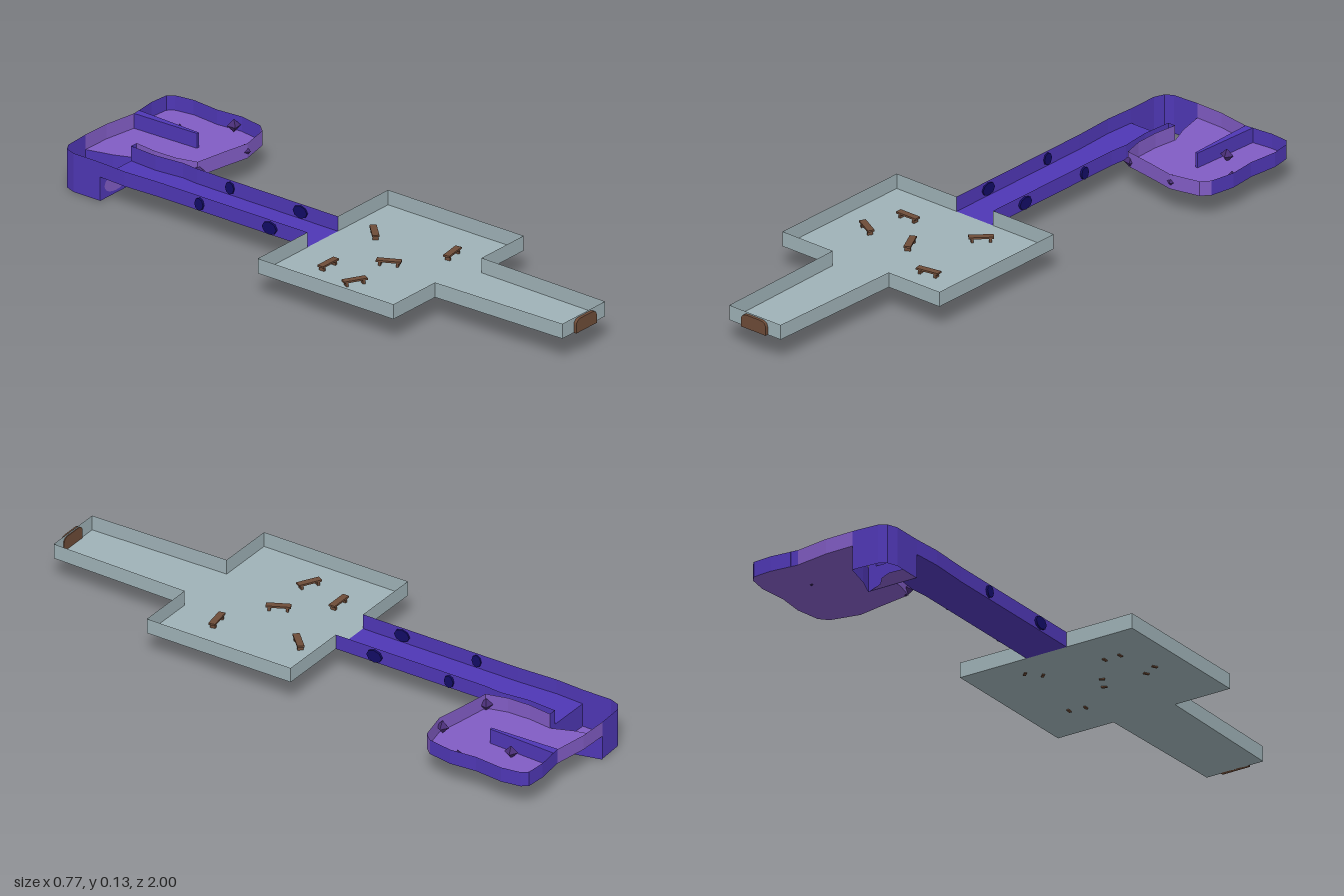
import * as THREE from 'three';

const FLOOR = 0.083, TOP = 0.133;

function material(name, color) {
  const m = new THREE.MeshStandardMaterial({ color, side: THREE.DoubleSide });
  m.name = name;
  return m;
}

// Flat floor from [x, z] corners
function floorGeometry(points, y) {
  const shape = new THREE.Shape(points.map(([x, z]) => new THREE.Vector2(x, -z)));
  return new THREE.ShapeGeometry(shape).rotateX(-Math.PI / 2).translate(0, y, 0);
}

// Upright sheet along a path of [x, z] points
function wallGeometry(path, y0, y1) {
  const pos = [];
  for (let i = 0; i < path.length - 1; i++) {
    const [ax, az] = path[i], [bx, bz] = path[i + 1];
    pos.push(ax, y0, az, bx, y0, bz, bx, y1, bz, ax, y0, az, bx, y1, bz, ax, y1, az);
  }
  const g = new THREE.BufferGeometry();
  g.setAttribute('position', new THREE.Float32BufferAttribute(pos, 3));
  g.computeVertexNormals();
  return g;
}

export function createModel() {
  const model = new THREE.Group();
  model.name = 'dungeonMap';
  const stone = material('grey stone', 0x9fb2b7);
  const violet = material('deep violet', 0x4f37b5);
  const lilac = material('lilac rock', 0x815cc4);
  const wood = material('brown wood', 0x6e4c38);
  const navy = material('navy crystal', 0x120c66);
  const plum = material('dark plum', 0x4a2f78);

  function add(name, geometry, mat, parent = model) {
    const mesh = new THREE.Mesh(geometry, mat);
    mesh.name = name;
    parent.add(mesh);
    return mesh;
  }
  const floor = (name, pts, mat, y = FLOOR) => add(name, floorGeometry(pts, y), mat);
  const wall = (name, pts, mat, y0 = FLOOR, y1 = TOP) => add(name, wallGeometry(pts, y0, y1), mat);

  // Main room with its entrance hall
  const leftSide = [[0, -0.03], [0.245, -0.03], [0.245, 0.5], [0.04, 0.5], [0.03, 0.99]];
  const rightSide = [[-0.178, 0.99], [-0.187, 0.5], [-0.39, 0.5], [-0.39, -0.03], [-0.148, -0.03]];
  const roomLoop = [...leftSide, ...rightSide];
  floor('roomFloor', roomLoop, stone);
  wall('roomWalls', roomLoop, stone);

  // Rounded entrance door
  const door = new THREE.Shape();
  door.moveTo(-0.05, 0);
  door.lineTo(0.05, 0);
  door.lineTo(0.05, 0.027);
  door.quadraticCurveTo(0.048, 0.045, 0.025, 0.045);
  door.lineTo(-0.025, 0.045);
  door.quadraticCurveTo(-0.048, 0.045, -0.05, 0.027);
  const doorGeo = new THREE.ExtrudeGeometry(door, { depth: 0.013, bevelEnabled: false });
  add('entranceDoor', doorGeo.translate(-0.072, FLOOR, 0.987), wood);

  // Benches scattered through the room: x, z, turn
  const benches = [
    [-0.222, 0.11, 0], [0.045, 0.077, 0.79], [-0.267, 0.25, -0.5],
    [-0.095, 0.246, -1.1], [0.076, 0.357, 0.17],
  ];
  for (const [x, z, turn] of benches) {
    const bench = new THREE.Group();
    bench.name = 'bench';
    add('seat', new THREE.BoxGeometry(0.078, 0.006, 0.022).translate(0, 0.016, 0), wood, bench);
    for (const s of [-1, 1]) {
      add('benchLeg', new THREE.BoxGeometry(0.008, 0.018, 0.018).translate(s * 0.028, 0.005, 0), wood, bench);
    }
    bench.position.set(x, FLOOR, z);
    bench.rotation.y = turn;
    model.add(bench);
  }

  // Long passage
  const passLeft = [[0, -0.03], [0, -0.58], [0.006, -0.64], [-0.004, -0.74], [0.003, -0.84]];
  const passRight = [[-0.148, -0.84], [-0.154, -0.74], [-0.148, -0.6], [-0.148, -0.03]];
  floor('passageFloor', [...passLeft, ...passRight], violet);
  wall('passageLeftWall', passLeft, violet);
  wall('passageRightWall', passRight, violet);

  // Dark studs set through the passage walls
  for (const [z, r] of [[-0.175, 0.028], [-0.45, 0.017]]) {
    for (const x of [-0.149, 0.001]) {
      const stud = new THREE.CylinderGeometry(1, 1, 0.012, 8).rotateZ(Math.PI / 2).scale(1, 0.021, r);
      add('wallStud', stud.translate(x, 0.107, z), navy);
    }
  }

  // Open shaft at the end of the passage
  const shaftBack = [[-0.148, -0.84], [-0.148, -0.945], [-0.135, -0.98], [-0.11, -0.995], [-0.02, -1]];
  wall('shaftOuterWall', shaftBack, violet, 0.003, TOP);
  wall('shaftFrontWall', [[-0.148, -0.84], [0.03, -0.84]], violet, 0.003, FLOOR);
  wall('shaftLeftWall', [[0.03, -0.84], [0.002, -0.91], [-0.02, -1]], violet, 0, FLOOR);
  floor('shaftLedge', [[-0.148, -0.84], [0.025, -0.84], [-0.03, -0.865], [-0.06, -0.9], [-0.1, -0.918], [-0.148, -0.915]], lilac, 0.004);
  add('shaftFrontPatch', new THREE.CircleGeometry(1, 24).scale(0.058, 0.031, 1).translate(-0.071, 0.045, -0.838), lilac);

  // Cave
  const backWall = [[-0.02, -1], [0.08, -0.998], [0.195, -0.98]];
  const eastWall = [[0.195, -0.98], [0.29, -0.99], [0.355, -0.985], [0.372, -0.965], [0.382, -0.9], [0.372, -0.8], [0.38, -0.71], [0.365, -0.625]];
  const frontWall = [[0.365, -0.625], [0.34, -0.597], [0.24, -0.575], [0.15, -0.592], [0.04, -0.61], [0.022, -0.68], [0.02, -0.76], [0.03, -0.84]];
  floor('caveFloor', [...backWall, ...eastWall.slice(1), ...frontWall.slice(1), [0.002, -0.91]], lilac);
  wall('caveBackWall', backWall, lilac);
  wall('caveEastWall', eastWall, violet);
  wall('caveFrontWall', frontWall, lilac);
  wall('caveCornerWall', [[0.03, -0.84], [0.003, -0.84]], violet);

  // Tapering partition inside the cave
  const fin = [[0.192, -0.98], [0.199, -0.74], [0.208, -0.74], [0.22, -0.983]];
  wall('cavePartition', fin, violet);
  floor('cavePartitionTop', fin, violet, TOP);

  // Small crystals around the cave
  for (const [x, z, y, turn] of [[0.24, -0.84, 0.1, 0.3], [0.36, -0.725, 0.106, 0.9], [0.24, -0.587, 0.106, 0.2], [0.045, -0.615, 0.1, 0.6]]) {
    const crystal = add('crystal', new THREE.OctahedronGeometry(0.022), plum);
    crystal.position.set(x, y, z);
    crystal.rotation.y = turn;
  }
  return model;
}
